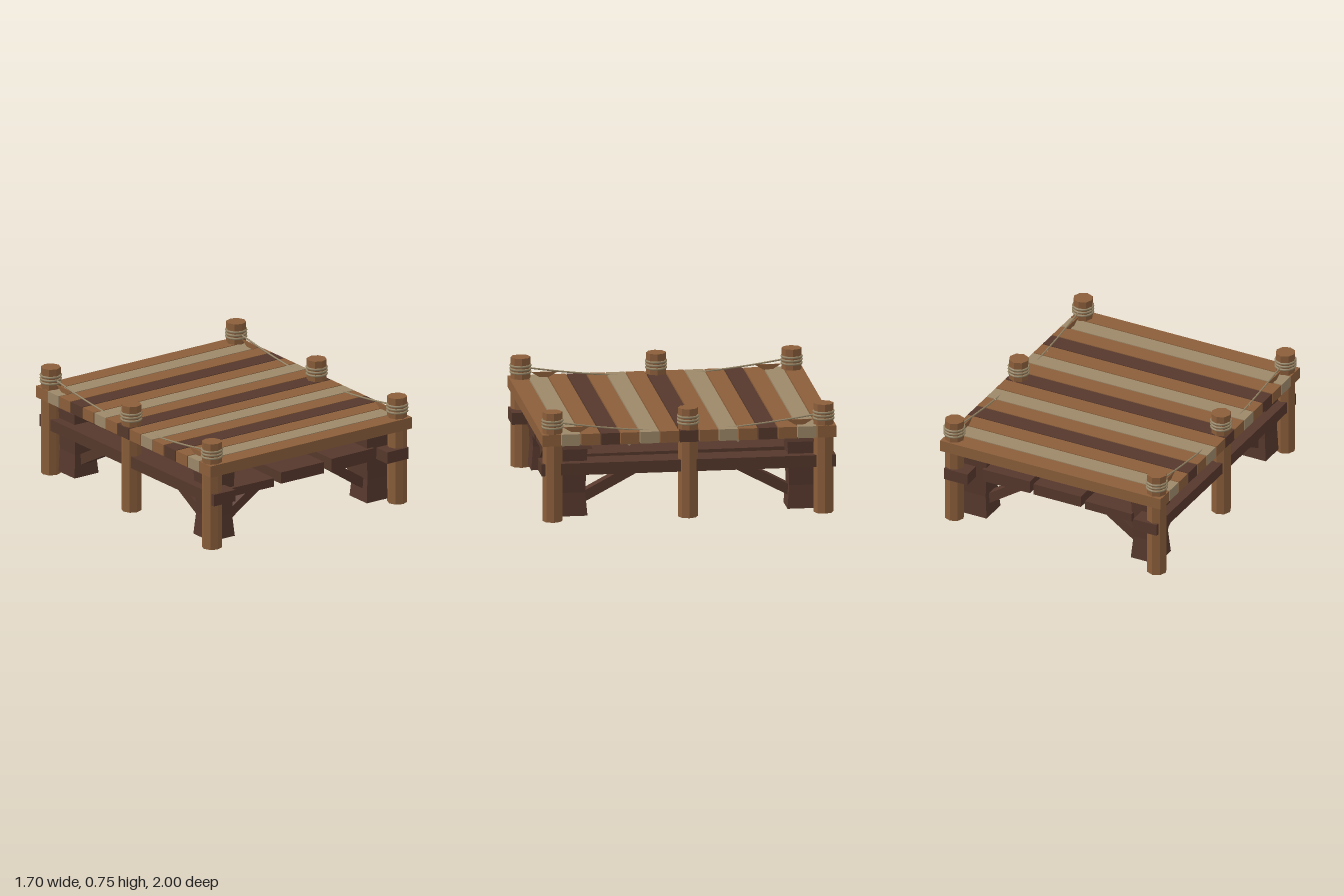
import * as THREE from 'three';

const material = (name, color) => {
  const m = new THREE.MeshStandardMaterial({ color });
  m.name = name;
  return m;
};

export function createModel() {
  const wood = material('warm wood', 0x8b5e3a);
  const dark = material('dark wood', 0x56382c);
  const pale = material('weathered wood', 0x9d8869);
  const rope = material('rope', 0x948465);
  const model = new THREE.Group();
  model.name = 'dock';

  const add = (name, geometry, mat, x = 0, y = 0, z = 0) => {
    const mesh = new THREE.Mesh(geometry, mat);
    mesh.name = name;
    mesh.position.set(x, y, z);
    model.add(mesh);
    return mesh;
  };
  const box = (w, h, d) => new THREE.BoxGeometry(w, h, d);
  const faceted = (geometry) => {
    const g = geometry.toNonIndexed();
    g.computeVertexNormals();
    return g;
  };

  // Deck planks in a repeating colour order
  const order = [wood, pale, wood, dark];
  for (let i = 0; i < 15; i++) {
    add('deckPlank', box(1.68, 0.08, 0.126), order[i % 4], 0, 0.57, (i - 7) * 0.1338);
  }

  // Long boards under the deck, the outer two slightly splayed
  add('middleBoard', box(0.36, 0.08, 1.8), dark, 0, 0.36, 0);
  add('rightBoard', box(0.36, 0.06, 1.8), dark, -0.405, 0.343, 0).rotation.y = -0.017;
  add('leftBoard', box(0.36, 0.09, 1.8), dark, 0.405, 0.365, 0).rotation.y = 0.017;

  // Shared geometry for posts, lashings and pillars
  const postGeometry = faceted(new THREE.CylinderGeometry(0.068, 0.068, 0.755, 8));
  const ringGeometry = new THREE.TorusGeometry(0.068, 0.008, 6, 16).rotateX(Math.PI / 2);
  const profile = [[0, 0.02], [0.1, 0.02], [0.086, 0.18], [0.1, 0.49], [0.13, 0.49], [0.115, 0.532], [0, 0.532]];
  const pillarGeometry = faceted(new THREE.LatheGeometry(
    profile.map(([r, y]) => new THREE.Vector2(r * Math.SQRT2, y)), 4).rotateY(Math.PI / 4));
  const wedgeShape = new THREE.Shape([
    new THREE.Vector2(-0.09, 0.645), new THREE.Vector2(0, 0.59), new THREE.Vector2(0.09, 0.645)]);
  const wedgeGeometry = new THREE.ExtrudeGeometry(wedgeShape, { depth: 0.008, bevelEnabled: false })
    .translate(0, 0, -0.004).rotateY(Math.PI / 2);

  for (const sx of [-1, 1]) {
    // Side beam running through the posts
    add('sideBeam', box(0.178, 0.082, 2), dark, sx * 0.722, 0.36, 0);

    // Round posts with three turns of lashing
    for (const z of [-0.922, 0, 0.922]) {
      add('post', postGeometry, wood, sx * 0.772, 0.3775, z);
      for (const y of [0.652, 0.675, 0.698]) add('lashing', ringGeometry, rope, sx * 0.772, y, z);
    }

    for (const sz of [-1, 1]) {
      // Waisted corner pillar with a flared cap
      add('cornerPillar', pillarGeometry, dark, sx * 0.65, 0, sz * 0.78);

      // Diagonal braces, one across and one along
      const across = add('crossBrace', box(0.44, 0.064, 0.08), dark, sx * 0.447, 0.222, sz * 0.78);
      across.rotation.z = -sx * 0.588;
      const along = add('longBrace', box(0.08, 0.068, 0.48), dark, sx * 0.65, 0.23, sz * 0.525);
      along.rotation.x = sz * 0.49;

      // Rope sagging from the corner post to the deck edge
      const curve = new THREE.CatmullRomCurve3([
        new THREE.Vector3(sx * 0.772, 0.678, sz * 0.88),
        new THREE.Vector3(sx * 0.772, 0.643, sz * 0.64),
        new THREE.Vector3(sx * 0.772, 0.616, sz * 0.4),
        new THREE.Vector3(sx * 0.772, 0.6, sz * 0.2)]);
      add('saggingRope', new THREE.TubeGeometry(curve, 12, 0.006, 6), rope);

      // Thin peg set cornerwise through the plank, and a wedge beneath the rope
      const peg = add('deckPeg', box(0.014, 0.08, 0.08), pale, sx * 0.772, 0.558, sz * 0.37 + 0.03);
      peg.rotation.x = Math.PI / 4;
      add('ropeWedge', wedgeGeometry, wood, sx * 0.772, 0, sz * 0.76);
    }
  }
  return model;
}
